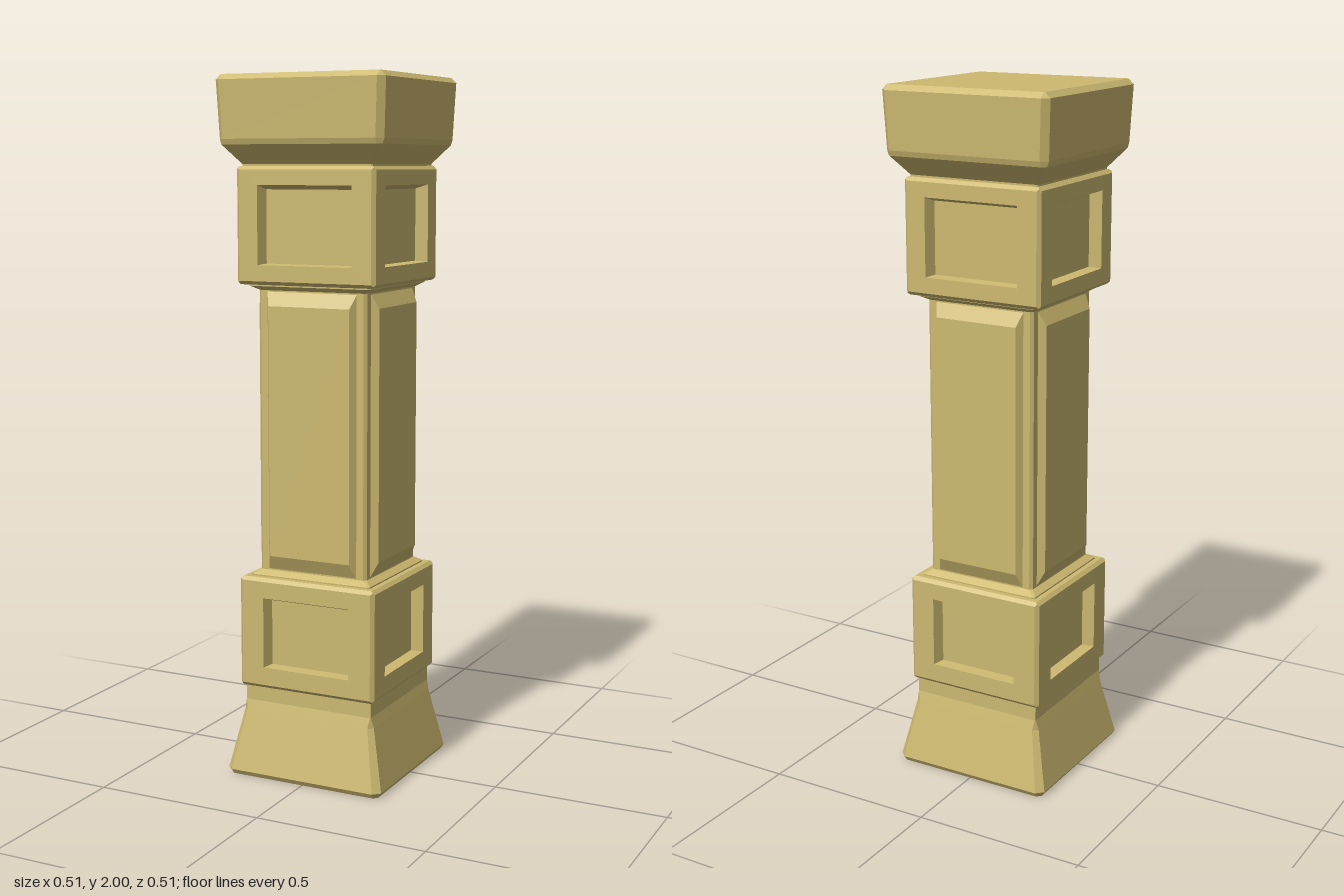
import * as THREE from 'three';
import { mergeGeometries } from 'three/addons/utils/BufferGeometryUtils.js';

const stone = new THREE.MeshStandardMaterial({ color: 0xcdb970, flatShading: true });

// Skin a row of matching cross-sections along +z; points run counter-clockwise.
function loft(sections, capStart, capEnd) {
  const pos = [];
  const tri = (a, b, c) => pos.push(...a, ...b, ...c);
  for (let k = 0; k + 1 < sections.length; k++) {
    const a = sections[k], b = sections[k + 1], n = a.length;
    for (let i = 0; i < n; i++) {
      const j = (i + 1) % n;
      tri(a[i], a[j], b[j]);
      tri(a[i], b[j], b[i]);
    }
  }
  const first = sections[0], last = sections[sections.length - 1];
  for (let i = 1; i + 1 < first.length; i++) {
    if (capStart) tri(first[0], first[i + 1], first[i]);
    if (capEnd) tri(last[0], last[i], last[i + 1]);
  }
  const g = new THREE.BufferGeometry();
  g.setAttribute('position', new THREE.Float32BufferAttribute(pos, 3));
  g.computeVertexNormals();
  return g;
}

// Rectangle section: half width, bottom, top, depth.
const rect = ([h, y0, y1, z]) => [[-h, y0, z], [h, y0, z], [h, y1, z], [-h, y1, z]];

// Square section with cut corners: height, half width, corner cut.
const cutSquare = ([y, h, c]) => [
  [h, -h + c, y], [h, h - c, y], [h - c, h, y], [-h + c, h, y],
  [-h, h - c, y], [-h, -h + c, y], [-h + c, -h, y], [h - c, -h, y],
];

// Upright solid from stacked cut squares.
const stack = (profile) => loft(profile.map(cutSquare), true, true).rotateX(-Math.PI / 2);

// The same face repeated on all four sides.
const fourSides = (rings) => mergeGeometries([0, 1, 2, 3].map((i) =>
  loft(rings.map(rect), false, true).rotateY(i * Math.PI / 2)));

// Bevelled block with a sunken panel in each side.
function panelBlock(y0, y1, hw, panelHalf, p0, p1) {
  const b = 0.01, m = b / 2, depth = 0.035;
  const sides = fourSides([
    [hw - m, y0 + m, y1 - m, hw - m],
    [hw - b, y0 + b, y1 - b, hw],
    [panelHalf, p0, p1, hw],
    [panelHalf - 0.01, p0 + 0.003, p1 - 0.012, hw - depth],
  ]);
  const half = (y1 - y0) / 2;
  const end = () => loft([
    rect([hw - m, -hw + m, hw - m, half - m]),
    rect([hw - b, -hw + b, hw - b, half]),
  ], false, true);
  const mid = (y0 + y1) / 2;
  return mergeGeometries([
    sides,
    end().rotateX(-Math.PI / 2).translate(0, mid, 0),
    end().rotateX(Math.PI / 2).translate(0, mid, 0),
  ]);
}

export function createModel() {
  const group = new THREE.Group();
  const add = (name, geometry) => {
    const mesh = new THREE.Mesh(geometry, stone);
    mesh.name = name;
    group.add(mesh);
  };

  // Flared foot with tapering corner cuts
  add('base', stack([
    [0, 0.235, 0.012], [0.015, 0.245, 0.02], [0.19, 0.207, 0.014],
    [0.22, 0.2, 0.002], [0.27, 0.2, 0.002],
  ]));

  add('lowerBlock', panelBlock(0.263, 0.588, 0.213, 0.135, 0.325, 0.53));

  // Shaft core with small mouldings at both ends
  add('shaft', stack([
    [0.58, 0.188, 0.006], [0.592, 0.188, 0.006], [0.605, 0.168, 0.008],
    [1.408, 0.168, 0.008], [1.42, 0.188, 0.006], [1.435, 0.188, 0.006],
  ]));
  add('shaftPanels', fourSides([
    [0.14, 0.605, 1.408, 0.166],
    [0.126, 0.65, 1.365, 0.188],
  ]));

  add('upperBlock', panelBlock(1.425, 1.752, 0.213, 0.145, 1.48, 1.7));

  // Overhanging cap with bevelled rim
  add('capital', stack([
    [1.745, 0.2, 0.004], [1.757, 0.2, 0.004], [1.81, 0.245, 0.012], [1.825, 0.25, 0.018],
    [1.985, 0.257, 0.018], [2, 0.241, 0.002],
  ]));

  return group;
}
